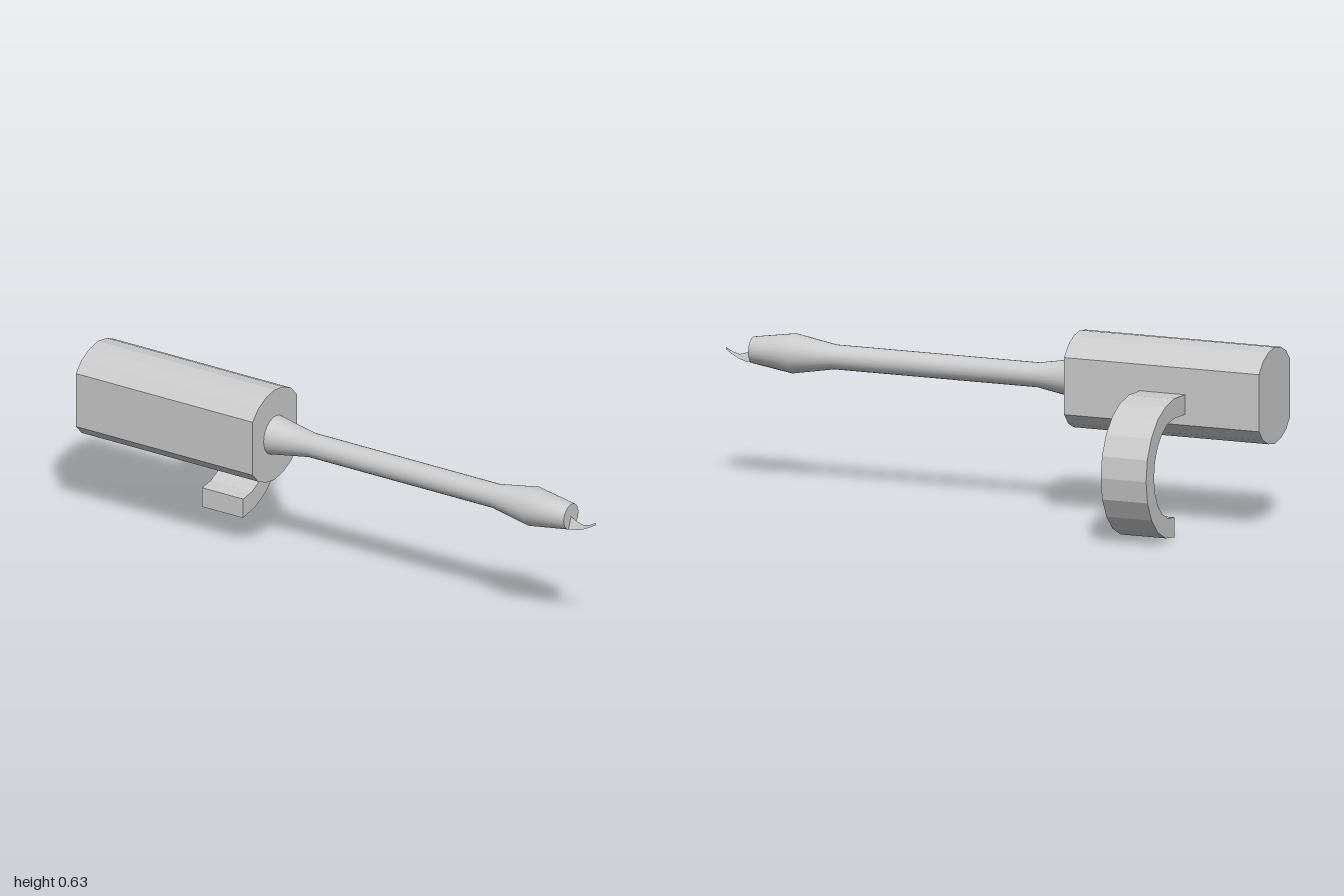
import * as THREE from 'three';

const AXIS_Y = 0.465, AXIS_Z = 0.168;

function addMesh(group, name, geometry, options = {}) {
  const mesh = new THREE.Mesh(geometry, new THREE.MeshStandardMaterial({ color: 0xcccccc, ...options }));
  mesh.name = name;
  group.add(mesh);
  return mesh;
}

// Extrudes a [z, y] outline along x, from x0 to x1
function extrudeAlongX(points, x0, x1) {
  const shape = new THREE.Shape(points.map(([z, y]) => new THREE.Vector2(-z, y)));
  return new THREE.ExtrudeGeometry(shape, { depth: x1 - x0, bevelEnabled: false })
    .rotateY(Math.PI / 2).translate(x0, 0, 0);
}

export function createModel() {
  const group = new THREE.Group();

  // Housing: a faceted barrel with two flat sides
  const arc = [[0.135, 0.098], [0.1, 0.135], [0.053, 0.157], [0, 0.166], [-0.053, 0.157], [-0.1, 0.135], [-0.135, 0.098]];
  const outline = [...arc, ...arc.map(([z, y]) => [-z, -y])].map(([z, y]) => [AXIS_Z + z, AXIS_Y + y]);
  addMesh(group, 'housing', extrudeAlongX(outline, -1, -0.29), { flatShading: true });

  // Hook curling behind and below the housing
  const outer = [[0.035, 0.472], [-0.06, 0.476], [-0.135, 0.462], [-0.2, 0.432], [-0.257, 0.378], [-0.292, 0.31],
    [-0.302, 0.237], [-0.29, 0.162], [-0.254, 0.096], [-0.2, 0.044], [-0.131, 0.011], [-0.056, 0]];
  const inner = [[-0.058, 0.069], [-0.113, 0.076], [-0.163, 0.1], [-0.2, 0.136], [-0.226, 0.184], [-0.234, 0.237],
    [-0.226, 0.29], [-0.2, 0.34], [-0.165, 0.374], [-0.117, 0.4], [-0.06, 0.408], [0.035, 0.404]];
  addMesh(group, 'hook', extrudeAlongX([...outer, ...inner], -0.73, -0.565), { flatShading: true });

  // Shaft: turned profile along x, flared at both ends
  const profile = [[0.068, -0.29], [0.042, -0.14], [0.042, 0.6], [0.068, 0.75], [0.045, 0.9]];
  const shaft = new THREE.LatheGeometry(profile.map(([r, x]) => new THREE.Vector2(r, x)), 24)
    .rotateZ(-Math.PI / 2).translate(0, AXIS_Y, AXIS_Z);
  addMesh(group, 'shaft', shaft);
  const cap = new THREE.CircleGeometry(0.045, 24).rotateY(Math.PI / 2).translate(0.9, AXIS_Y, AXIS_Z);
  addMesh(group, 'shaftEnd', cap);

  // Nib: a thin folded sheet, sections are [x, ridge y, edge y, half width]
  const sections = [[0.9, 0.465, 0.424, 0.016], [0.925, 0.453, 0.425, 0.01], [0.95, 0.446, 0.431, 0.005],
    [0.975, 0.453, 0.444, 0.003], [1, 0.466, 0.459, 0.001]];
  const positions = [], indices = [];
  sections.forEach(([x, ridge, edge, w], i) => {
    positions.push(x, edge, AXIS_Z + w, x, ridge, AXIS_Z, x, edge, AXIS_Z - w);
    if (i === 0) return;
    for (let k = 0; k < 2; k++) {
      const a = (i - 1) * 3 + k, b = i * 3 + k;
      indices.push(a, b, b + 1, a, b + 1, a + 1);
    }
  });
  const nib = new THREE.BufferGeometry();
  nib.setAttribute('position', new THREE.Float32BufferAttribute(positions, 3));
  nib.setIndex(indices);
  nib.computeVertexNormals();
  addMesh(group, 'nib', nib, { flatShading: true, side: THREE.DoubleSide });

  return group;
}
